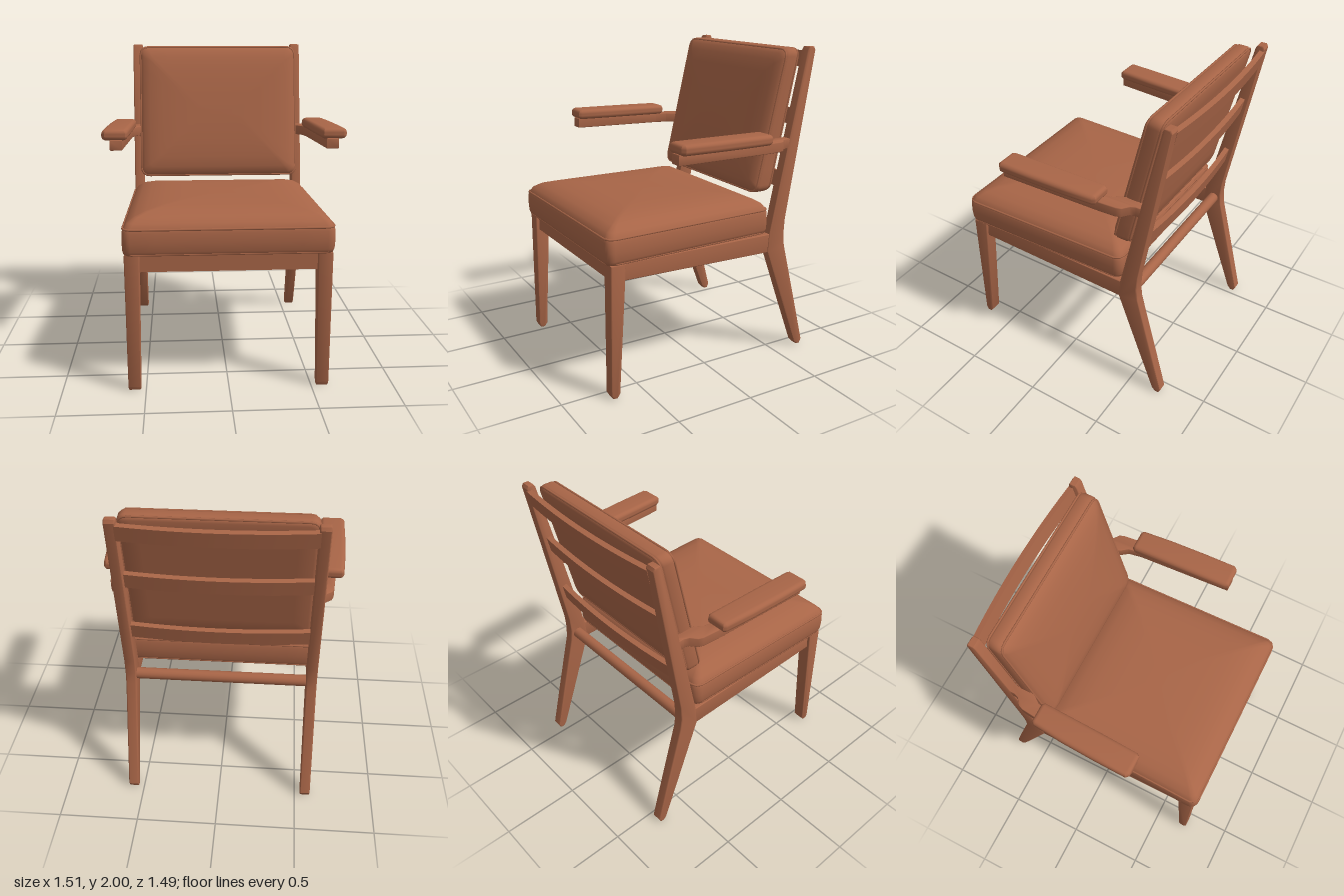
import * as THREE from 'three';
import { toCreasedNormals } from 'three/addons/utils/BufferGeometryUtils.js';

const leather = new THREE.MeshStandardMaterial({ color: 0xa86547 });
leather.name = 'warm brown';

// Extruded outline with softened edges, centred on its thickness
function slab(points, thickness, bevel) {
  const shape = new THREE.Shape(points.map(([a, b]) => new THREE.Vector2(a, b)));
  const g = new THREE.ExtrudeGeometry(shape, {
    depth: thickness - 2 * bevel, bevelThickness: bevel, bevelSize: bevel,
    bevelOffset: -bevel, bevelSegments: 4, curveSegments: 8,
  });
  g.translate(0, 0, bevel - thickness / 2);
  return toCreasedNormals(g, 0.6);
}
// Outline given as [z, y], thickness along x
const sideSlab = (points, t, bevel) => slab(points, t, bevel).rotateY(-Math.PI / 2);
// Outline given as [x, z], thickness along y
const flatSlab = (points, t, bevel) => slab(points, t, bevel).rotateX(Math.PI / 2);

// Rounded rectangle loop in the xz plane
function loop(halfW, halfD, radius, y) {
  const pts = [];
  const r = Math.min(radius, halfW, halfD);
  const corners = [[1, 1], [-1, 1], [-1, -1], [1, -1]];
  corners.forEach(([sx, sz], q) => {
    for (let i = 0; i <= 6; i++) {
      const a = (q + i / 6) * Math.PI / 2;
      pts.push(new THREE.Vector3(sx * (halfW - r) + r * Math.cos(a), y, sz * (halfD - r) + r * Math.sin(a)));
    }
    // points along the straight edge towards the next corner
    const [nx, nz] = corners[(q + 1) % 4];
    const a = (q + 1) * Math.PI / 2;
    for (let i = 1; i < 8; i++) {
      const t = i / 8;
      pts.push(new THREE.Vector3(
        (sx + (nx - sx) * t) * (halfW - r) + r * Math.cos(a), y,
        (sz + (nz - sz) * t) * (halfD - r) + r * Math.sin(a)));
    }
  });
  return pts;
}

// Cushion skinned over loops; profile rows are [inset, height]
function cushion(halfW, halfD, radius, profile, bend) {
  const pos = [], index = [];
  let n = 0;
  for (const [inset, y] of profile) {
    const pts = loop(halfW - inset, halfD - inset, Math.max(radius - inset * 0.3, 0.02), y);
    n = pts.length;
    pts.forEach(p => { bend(p); pos.push(p.x, p.y, p.z); });
  }
  const rows = profile.length;
  for (let r = 0; r < rows - 1; r++) for (let i = 0; i < n; i++) {
    const a = r * n + i, b = r * n + (i + 1) % n;
    index.push(a, a + n, b, b, a + n, b + n);
  }
  // close both ends
  [0, rows - 1].forEach((r, end) => {
    const c = bend(new THREE.Vector3(0, profile[r][1], 0));
    const k = pos.length / 3;
    pos.push(c.x, c.y, c.z);
    for (let i = 0; i < n; i++) {
      const a = r * n + i, b = r * n + (i + 1) % n;
      if (end) index.push(a, k, b); else index.push(a, b, k);
    }
  });
  const g = new THREE.BufferGeometry();
  g.setAttribute('position', new THREE.Float32BufferAttribute(pos, 3));
  g.setIndex(index);
  return toCreasedNormals(g, 0.9);
}

// Thin welt cord following a cushion edge
function welt(halfW, halfD, radius, y, bend) {
  const curve = new THREE.CatmullRomCurve3(loop(halfW, halfD, radius, y).map(bend), true);
  return new THREE.TubeGeometry(curve, 140, 0.007, 6, true);
}

export function createModel() {
  const group = new THREE.Group();
  group.name = 'armchair';
  const add = (name, geometry, x = 0, y = 0, z = 0) => {
    const m = new THREE.Mesh(geometry, leather);
    m.name = name;
    m.position.set(x, y, z);
    group.add(m);
    return m;
  };

  // Seat cushion, narrowing slightly to the rear
  const seatBend = p => {
    p.x *= 1 - 0.045 * (0.58 - p.z) / 1.16;
    p.z += 0.16;
    return p;
  };
  const seatProfile = [[0.1, 0.84], [0.03, 0.838], [0.01, 0.848], [0.003, 0.87], [0, 0.92], [0.002, 0.98],
    [0.01, 1.005], [0.03, 1.033], [0.075, 1.06], [0.14, 1.08], [0.24, 1.093], [0.38, 1.1]];
  add('seatCushion', cushion(0.625, 0.58, 0.05, seatProfile, seatBend));
  add('seatWeltTop', welt(0.618, 0.573, 0.05, 1.0, seatBend));
  add('seatWeltBottom', welt(0.612, 0.567, 0.05, 0.85, seatBend));

  // Back cushion, leaning rearwards and fuller near the bottom
  const backBend = p => {
    const y = 1.545 - p.z;
    const t = p.y * (1.06 - 0.14 * (y - 1.1));
    return p.set(p.x, y, -0.455 - 0.222 * (y - 1.1) + t);
  };
  const backProfile = [[0.12, 0], [0.03, 0], [0.01, 0.01], [0, 0.03], [0, 0.09], [0.01, 0.112],
    [0.03, 0.128], [0.07, 0.143], [0.14, 0.156], [0.26, 0.166], [0.4, 0.17]];
  add('backCushion', cushion(0.55, 0.445, 0.05, backProfile, backBend));
  add('backWeltFront', welt(0.543, 0.438, 0.05, 0.108, backBend));
  add('backWeltRear', welt(0.543, 0.438, 0.05, 0.012, backBend));

  for (const s of [1, -1]) {
    const side = s > 0 ? 'left' : 'right';

    // Tapered front leg
    const leg = sideSlab([[0.682, 0], [0.708, 0], [0.722, 0.025], [0.715, 0.845], [0.615, 0.845], [0.664, 0.025]], 0.09, 0.01);
    const lp = leg.attributes.position;
    for (let i = 0; i < lp.count; i++) lp.setX(i, lp.getX(i) * (0.85 + 0.18 * lp.getY(i)));
    add(side + 'FrontLeg', leg, s * 0.568);

    // Rear leg and back post in one bent piece
    add(side + 'RearPost', sideSlab([
      [-0.69, 0], [-0.715, 0], [-0.73, 0.03], [-0.645, 0.36], [-0.545, 0.74], [-0.537, 0.82], [-0.543, 0.92],
      [-0.725, 1.98], [-0.715, 2], [-0.68, 2], [-0.667, 1.98],
      [-0.54, 1.4], [-0.42, 0.84], [-0.41, 0.72], [-0.55, 0.34], [-0.668, 0.025],
    ], 0.066, 0.009), s * 0.567);

    // Side rail
    add(side + 'SeatRail', sideSlab([[0.66, 0.735], [0.66, 0.84], [-0.46, 0.835], [-0.46, 0.712]], 0.055, 0.006), s * 0.567);

    // Arm support sweeping inwards to the post
    const support = [[0.705, 0.325], [0.672, -0.33], [0.662, -0.43], [0.65, -0.46], [0.61, -0.49], [0.598, -0.52], [0.598, -0.57],
      [0.54, -0.57], [0.54, -0.43], [0.555, -0.4], [0.585, -0.36], [0.6, -0.28], [0.63, 0.325]];
    add(side + 'ArmSupport', flatSlab(support.map(([x, z]) => [s * x, z]), 0.065, 0.006), 0, 1.42, 0).rotation.x = -0.018;

    // Padded armrest, wider at the front
    const pad = [[0.735, 0.33], [0.755, 0.31], [0.75, 0.1], [0.74, -0.12], [0.724, -0.31], [0.71, -0.33],
      [0.59, -0.33], [0.575, -0.31], [0.588, 0.1], [0.598, 0.31], [0.61, 0.33]];
    add(side + 'Armrest', flatSlab(pad.map(([x, z]) => [s * x, z]), 0.066, 0.026), 0, 1.482, 0).rotation.x = -0.018;
  }

  // Front rail and rear stretcher
  add('frontRail', new THREE.BoxGeometry(1.06, 0.1, 0.055), 0, 0.787, 0.665);
  const stretcher = new THREE.CylinderGeometry(0.036, 0.036, 1.08, 16).rotateZ(Math.PI / 2);
  add('rearStretcher', stretcher, 0, 0.785, -0.485);

  // Bowed back slats
  [[1.92, -0.7], [1.57, -0.612], [1.17, -0.54]].forEach(([y, z], i) => {
    const g = new THREE.BoxGeometry(1.09, 0.1, 0.032, 20, 1, 1);
    const p = g.attributes.position;
    for (let k = 0; k < p.count; k++) p.setZ(k, p.getZ(k) - 0.028 * (1 - (p.getX(k) / 0.545) ** 2));
    g.computeVertexNormals();
    add('backSlat' + (i + 1), toCreasedNormals(g, 0.6), 0, y, z).rotation.x = -0.2;
  });

  return group;
}
